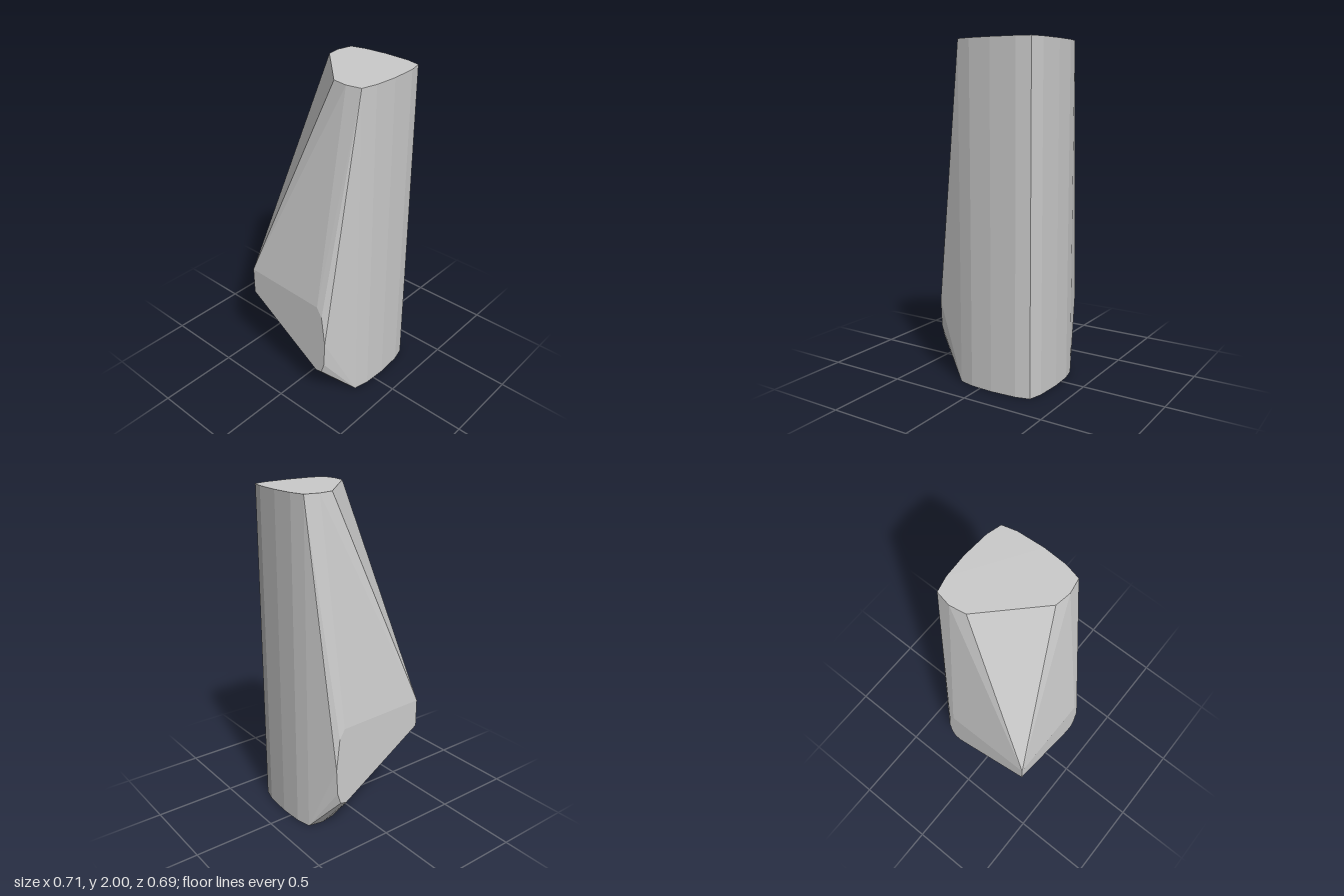
import * as THREE from 'three';
import { ConvexGeometry } from 'three/addons/geometries/ConvexGeometry.js';

// End cap outline (x, z), shared by the top and the foot
const CAP = [
  [0.145, -0.162], [0.238, -0.178], [0.327, -0.16], [0.348, -0.07], [0.355, 0.07],
  [0.345, 0.23], [0.322, 0.315], [0.238, 0.337], [0.08, 0.347], [-0.06, 0.34],
  [-0.152, 0.318], [-0.168, 0.23], [-0.153, 0.137],
];

// Rounded outer edge of each flat bulge face: (distance along the face, height)
const BULGE = [
  [0.2, 0.7], [0.235, 0.64], [0.258, 0.45], [0.25, 0.29], [0.228, 0.22], [0.185, 0.21],
];
const BACK_Z = -0.347, SIDE_X = -0.357;

export function createModel() {
  const points = [];
  const add = (x, y, z) => points.push(new THREE.Vector3(x, y, z));

  // Matching caps at both ends
  for (const [x, z] of CAP) {
    add(x, 0, z);
    add(x, 2, z);
  }

  // Back and side faces, mirrored across the diagonal
  for (const [d, y] of BULGE) {
    add(d, y, BACK_Z);
    add(SIDE_X, y, d - 0.012);
  }

  // Short vertical edge where the two bulge faces meet
  for (const y of [0.55, 0.72]) add(SIDE_X, y, BACK_Z);

  const material = new THREE.MeshStandardMaterial({ color: 0xcccccc, flatShading: true });
  const body = new THREE.Mesh(new ConvexGeometry(points), material);
  body.name = 'facetedBody';

  const group = new THREE.Group();
  group.name = 'facetedBlock';
  group.add(body);
  return group;
}
